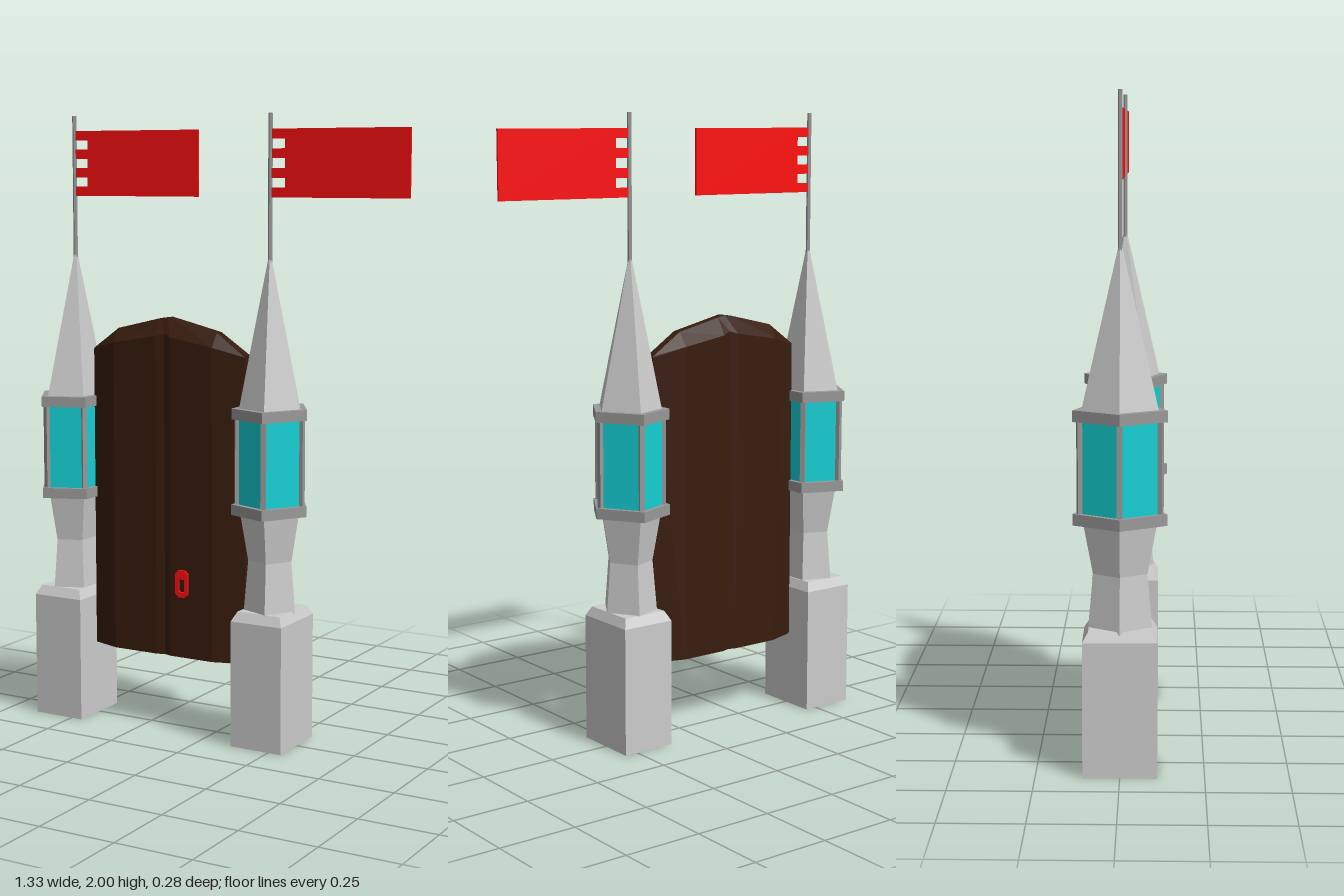
import * as THREE from 'three';

const paint = (color) => new THREE.MeshStandardMaterial({ color, flatShading: true });
const stone = paint(0xcccccc);
const trim = paint(0x999999);
const glass = paint(0x14d0d4);
const wood = paint(0x381c0e);
const red = paint(0xff1010);

const SQUASH = 0.85; // towers are narrower across x than along z

function add(parent, name, geometry, material, x = 0, y = 0, z = 0) {
  const mesh = new THREE.Mesh(geometry, material);
  mesh.name = name;
  mesh.position.set(x, y, z);
  parent.add(mesh);
  return mesh;
}

// Five-sided tower section between two heights, one corner pointing outward
function section(parent, name, material, side, y0, y1, r0, r1) {
  const g = new THREE.CylinderGeometry(r1, r0, y1 - y0, 5, 1, false, side * Math.PI / 2);
  g.scale(SQUASH, 1, 1);
  return add(parent, name, g, material, 0, (y0 + y1) / 2, 0);
}

function makeTower(side) {
  const tower = new THREE.Group();
  tower.name = side > 0 ? 'leftTower' : 'rightTower';

  // Square plinth with sloping shoulder
  add(tower, 'plinth', new THREE.BoxGeometry(0.18, 0.41, 0.22), stone, side * 0.003, 0.205, 0);
  const shoulder = new THREE.CylinderGeometry(0.84 * Math.SQRT2, Math.SQRT2, 0.03, 4, 1, false, Math.PI / 4);
  shoulder.scale(0.09, 1, 0.11);
  add(tower, 'shoulder', shoulder, stone, side * 0.003, 0.425, 0);

  // Waisted column
  section(tower, 'lowerColumn', stone, side, 0.43, 0.6, 0.1, 0.084);
  section(tower, 'upperColumn', stone, side, 0.6, 0.755, 0.084, 0.114);

  // Glazed lantern between two rings
  section(tower, 'lowerRing', trim, side, 0.748, 0.782, 0.145, 0.145);
  section(tower, 'windows', glass, side, 0.78, 1.055, 0.124, 0.124);
  section(tower, 'upperRing', trim, side, 1.053, 1.087, 0.145, 0.145);
  for (let i = 0; i < 5; i++) {
    const a = side * Math.PI / 2 + i * Math.PI * 2 / 5;
    add(tower, 'windowPost', new THREE.BoxGeometry(0.016, 0.275, 0.016), trim,
      Math.sin(a) * 0.123 * SQUASH, 0.9175, Math.cos(a) * 0.123).rotation.y = a;
  }

  // Spire leaning slightly inward to meet the pole
  const spire = section(tower, 'spire', stone, side, 1.085, 1.555, 0.118, 0.006);
  const p = spire.geometry.attributes.position;
  for (let i = 0; i < p.count; i++) {
    if (p.getY(i) > 0) p.setX(i, p.getX(i) - side * 0.01);
  }
  const poleX = -side * 0.01;
  add(tower, 'flagPole', new THREE.CylinderGeometry(0.007, 0.007, 0.5, 6), trim, poleX, 1.75, 0);

  // Flag with four tabs around the pole
  const flag = new THREE.Group();
  flag.name = 'flag';
  flag.position.set(poleX, 1.742, 0);
  add(flag, 'cloth', new THREE.BoxGeometry(0.42, 0.21, 0.006), red, 0.262, 0.105, 0);
  for (let i = 0; i < 4; i++) {
    add(flag, 'tab', new THREE.BoxGeometry(0.052, 0.03, 0.006), red, 0.026, 0.015 + i * 0.06, 0);
  }
  tower.add(flag);
  return tower;
}

// Door: y-z cross-sections lofted along x
function doorGeometry() {
  // x, top height, half thickness, top bevel drop
  const stations = [
    [-0.457, 1.245, 0.016, 0.005], [-0.36, 1.315, 0.048, 0.045],
    [-0.2, 1.353, 0.048, 0.055], [-0.172, 1.357, 0.04, 0.05],
    [-0.145, 1.351, 0.048, 0.055], [0.01, 1.315, 0.048, 0.045],
    [0.115, 1.245, 0.016, 0.005],
  ];
  const bottom = 0.248, n = 6;
  const pos = [], index = [];
  for (const [x, top, t, drop] of stations) {
    pos.push(x, bottom, t, x, top - drop, t, x, top, 0.015,
      x, top, -0.015, x, top - drop, -t, x, bottom, -t);
  }
  for (let s = 0; s < stations.length - 1; s++) {
    for (let j = 0; j < n; j++) {
      const a = s * n + j, b = s * n + (j + 1) % n;
      index.push(a, a + n, b, b, a + n, b + n);
    }
  }
  const last = (stations.length - 1) * n;
  for (let j = 1; j < n - 1; j++) {
    index.push(0, j, j + 1, last, last + j + 1, last + j);
  }
  const g = new THREE.BufferGeometry();
  g.setAttribute('position', new THREE.Float32BufferAttribute(pos, 3));
  g.setIndex(index);
  const flat = g.toNonIndexed();
  flat.computeVertexNormals();
  return flat;
}

// Long octagonal outline for the door pull
function octagon(target, w, h) {
  const c = w * 0.5;
  target.setFromPoints([[w, h - c], [w - c, h], [c - w, h], [-w, h - c],
    [-w, c - h], [c - w, -h], [w - c, -h], [w, c - h]].map(([x, y]) => new THREE.Vector2(x, y)));
  return target;
}

function makeDoorPull() {
  const pull = new THREE.Group();
  pull.name = 'doorPull';
  pull.position.set(-0.1, 0.495, 0.04);
  const ring = octagon(new THREE.Shape(), 0.023, 0.045);
  ring.holes.push(octagon(new THREE.Path(), 0.011, 0.028));
  add(pull, 'pullRing', new THREE.ExtrudeGeometry(ring, { depth: 0.016, bevelEnabled: false }), red);
  add(pull, 'pullKnob', new THREE.BoxGeometry(0.024, 0.018, 0.016), red, 0, 0.024, 0.008);
  return pull;
}

export function createModel() {
  const model = new THREE.Group();
  model.name = 'castleGate';
  for (const side of [-1, 1]) {
    const tower = makeTower(side);
    tower.position.x = -0.1725 + side * 0.3745;
    model.add(tower);
  }
  add(model, 'door', doorGeometry(), wood);
  model.add(makeDoorPull());
  return model;
}
